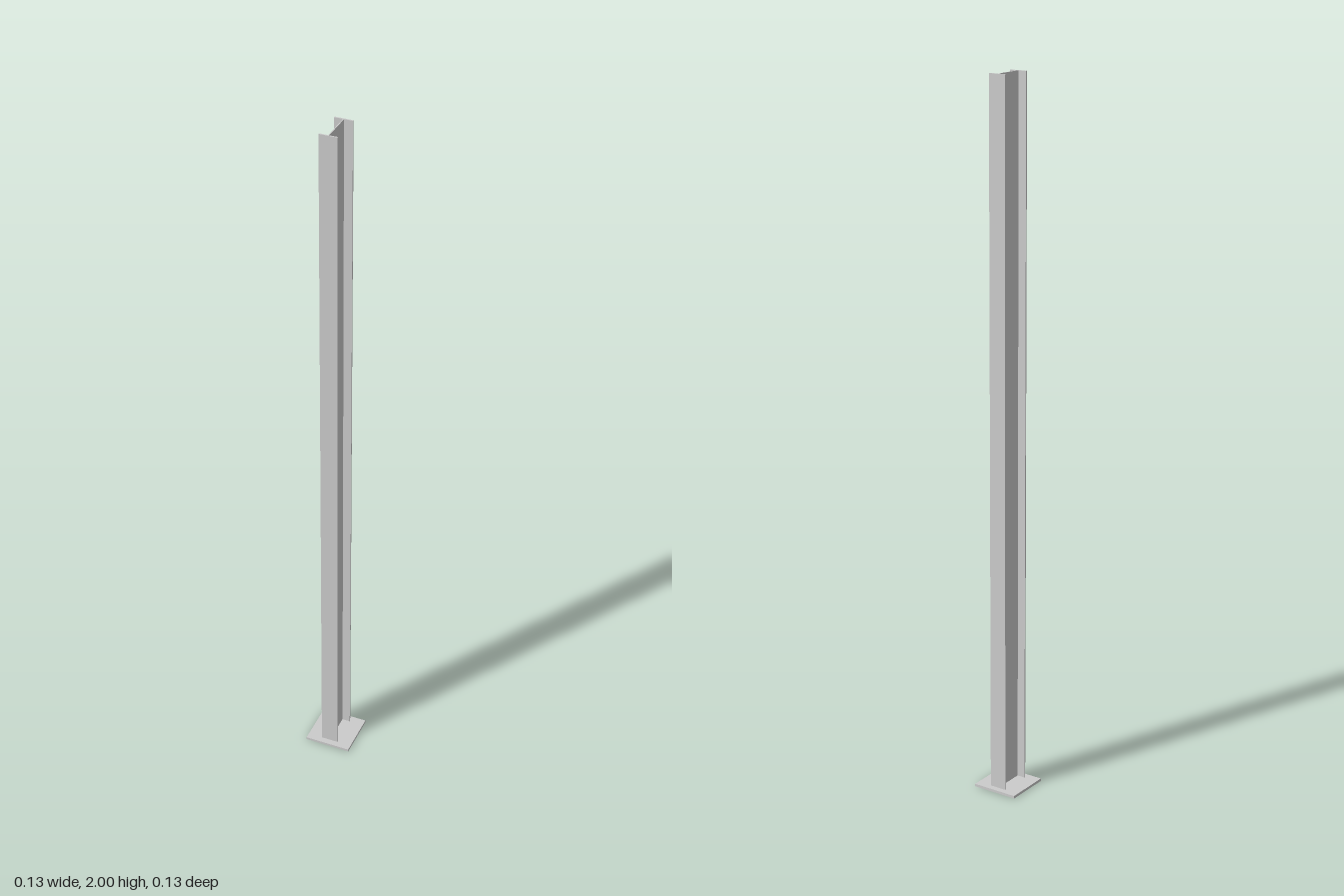
import * as THREE from 'three';

const HEIGHT = 2, PLATE = 0.134, PLATE_T = 0.0075;
const DEPTH = 0.099, WIDTH = 0.05, FLANGE_T = 0.004, WEB_T = 0.0028;

// Outline of the I-section, centred on the origin
function iSection() {
  const w = WIDTH / 2, d = DEPTH / 2, t = WEB_T / 2, f = d - FLANGE_T;
  const half = [[w, -d], [w, -f], [t, -f], [t, f], [w, f], [w, d]];
  const mirrored = half.map(([x, y]) => [-x, y]).reverse();
  return new THREE.Shape([...half, ...mirrored].map(([x, y]) => new THREE.Vector2(x, y)));
}

export function createModel() {
  const group = new THREE.Group();
  group.name = 'steelColumn';
  const material = new THREE.MeshStandardMaterial({ color: 0xcccccc, flatShading: true });

  // Square base plate
  const plate = new THREE.Mesh(new THREE.BoxGeometry(PLATE, PLATE_T, PLATE), material);
  plate.name = 'basePlate';
  plate.position.y = PLATE_T / 2;

  // I-beam standing on the plate, flanges facing front and back
  const beamGeometry = new THREE.ExtrudeGeometry(iSection(), { depth: HEIGHT - PLATE_T, bevelEnabled: false });
  beamGeometry.rotateX(-Math.PI / 2);
  const beam = new THREE.Mesh(beamGeometry, material);
  beam.name = 'beam';
  beam.position.y = PLATE_T;

  group.add(plate, beam);
  return group;
}
